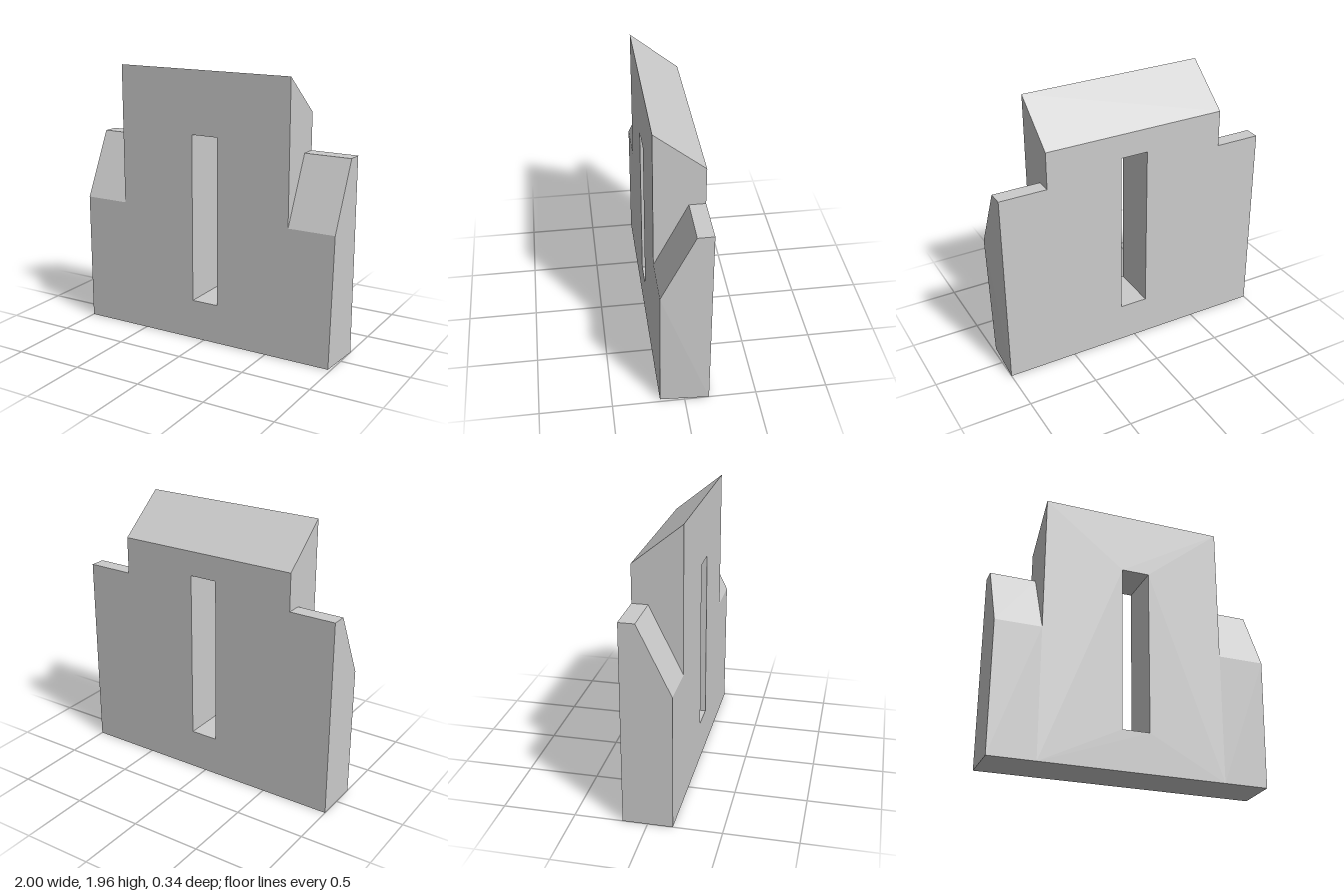
import * as THREE from 'three';

const HALF = 0.17;              // half thickness of the slab
const CORE = [-0.67, 0.66];     // x range of the tall middle
const TOP_FRONT = 1.955, TOP_BACK = 1.68;

const material = new THREE.MeshStandardMaterial({ color: 0xcccccc, flatShading: true });
const points = (list) => list.map(([x, y]) => new THREE.Vector2(x, y));
const rectangle = (x0, x1, y0, y1) => points([[x0, y0], [x1, y0], [x1, y1], [x0, y1]]);

function addMesh(group, name, geometry) {
  geometry.computeVertexNormals();
  const mesh = new THREE.Mesh(geometry, material);
  mesh.name = name;
  group.add(mesh);
}

// Move each vertex by a rule that edits a vector in place
function reshape(geometry, rule) {
  const position = geometry.attributes.position;
  const v = new THREE.Vector3();
  for (let i = 0; i < position.count; i++) {
    rule(v.fromBufferAttribute(position, i));
    position.setXYZ(i, v.x, v.y, v.z);
  }
}

// Shoulder: a side profile with a sloped front, extruded along x
function shoulderGeometry(x0, x1) {
  const profile = new THREE.Shape(points([
    [-HALF, 0], [HALF, 0], [HALF, 0.945], [-0.06, 1.415], [-HALF, 1.415],
  ]));
  const geometry = new THREE.ExtrudeGeometry(profile, { depth: x1 - x0, bevelEnabled: false });
  geometry.rotateY(-Math.PI / 2).translate(x1, 0, 0);
  return geometry;
}

export function createModel() {
  const group = new THREE.Group();
  group.name = 'slottedSlab';

  // Tall middle with a through slot; its top slopes down to the back
  const outline = new THREE.Shape(rectangle(CORE[0], CORE[1], 0, TOP_FRONT));
  outline.holes.push(new THREE.Path(rectangle(-0.09, 0.11, 0.29, 1.505)));
  const core = new THREE.ExtrudeGeometry(outline, { depth: 2 * HALF, bevelEnabled: false });
  core.translate(0, 0, -HALF);
  reshape(core, (v) => {
    if (v.y > 1.9 && v.z < 0) v.y = TOP_BACK;
  });
  addMesh(group, 'slottedCore', core);

  // Lower shoulders on both sides
  addMesh(group, 'rightShoulder', shoulderGeometry(-1, CORE[0]));

  // The left one has its lower front corner pulled slightly inward
  const left = shoulderGeometry(CORE[1], 1);
  reshape(left, (v) => {
    if (v.x > 0.99 && v.y < 0.01 && v.z > 0) v.x = 0.98;
  });
  addMesh(group, 'leftShoulder', left);

  return group;
}
